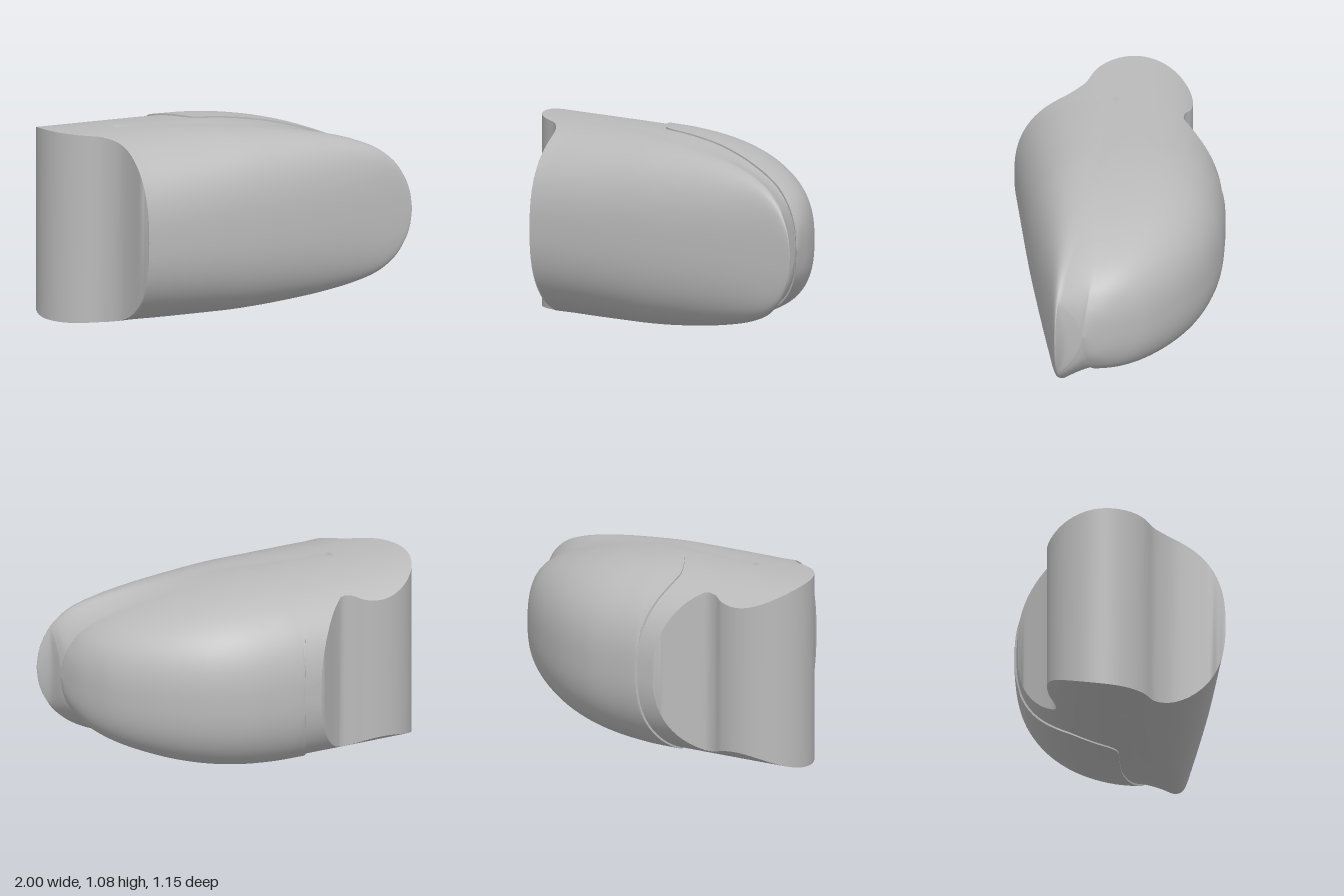
import * as THREE from 'three';
import { toCreasedNormals } from 'three/addons/utils/BufferGeometryUtils.js';

const MID = 0.54; // height of the mirror plane
const N = 2.5; // squareness of the rounded sections

// Smooth monotone curve through [x, value] pairs
function curve(...p) {
  const d = p.slice(1).map((q, i) => (q[1] - p[i][1]) / (q[0] - p[i][0]));
  const m = p.map((_, i) => {
    if (i === 0) return d[0];
    if (i === d.length) return d[i - 1];
    return d[i - 1] * d[i] <= 0 ? 0 : 2 * d[i - 1] * d[i] / (d[i - 1] + d[i]);
  });
  return (x) => {
    if (x <= p[0][0]) return p[0][1];
    if (x >= p[p.length - 1][0]) return p[p.length - 1][1];
    let i = 0;
    while (x > p[i + 1][0]) i++;
    const h = p[i + 1][0] - p[i][0], t = (x - p[i][0]) / h, s = 1 - t;
    return p[i][1] * (1 + 2 * t) * s * s + p[i + 1][1] * t * t * (3 - 2 * t)
      + h * (m[i] * t * s * s - m[i + 1] * t * t * s);
  };
}

// Plan outlines and heights along x
const back = curve([-1, -0.565], [-0.17, -0.565], [0, -0.555], [0.12, -0.54], [0.24, -0.507], [0.34, -0.468],
  [0.43, -0.42], [0.56, -0.33], [0.68, -0.222], [0.78, -0.105], [0.84, 0], [0.885, 0.105], [0.92, 0.25],
  [0.935, 0.335], [0.96, 0.37], [1, 0.403]);
const front = curve([-0.65, 0.57], [0, 0.522], [0.5, 0.47], [1, 0.407]);
const seam = curve([-0.1, 0], [0.2, 0.025], [0.4, 0.065], [0.7, 0.15], [0.82, 0.2], [0.92, 0.25],
  [0.935, 0.335], [0.96, 0.37], [1, 0.403]);
const rim = curve([-0.6, 0], [-0.2, 0.08], [0, 0.14], [0.2, 0.18], [0.4, 0.23], [0.6, 0.28], [0.85, 0.36], [1, 0.405]);
const domeHeight = curve([-1, 0.536], [-0.5, 0.534], [-0.15, 0.53], [0, 0.522], [0.2, 0.497], [0.4, 0.455],
  [0.53, 0.415], [0.7, 0.345], [0.82, 0.26], [0.89, 0.15], [0.91, 0.08], [0.92, 0]);
const rimHeight = curve([-1, 0.536], [-0.5, 0.533], [-0.2, 0.526], [0.1, 0.506], [0.4, 0.467], [0.6, 0.427],
  [0.7, 0.397], [0.8, 0.355], [0.9, 0.275], [0.96, 0.18], [0.99, 0.09], [1, 0]);
// Hollow behind the rim, opening out round the tip
const hollow = curve([0.5, 2], [0.8, 1.2], [0.92, 0.5]);

// Hinge barrel and its fillets
const barrel = (x) => Math.sqrt(Math.max(0, 0.29 ** 2 - (x + 0.71) ** 2));
const hingeBack = curve([-0.6, -0.393], [-0.55, -0.365], [-0.5, -0.357], [-0.46, -0.385], [-0.285, -0.555],
  [-0.275, -0.563], [-0.17, -0.565]);
const hingeFront = curve([-0.83, 0.139], [-0.77, 0.17], [-0.72, 0.225], [-0.69, 0.28], [-0.672, 0.36], [-0.65, 0.57]);
const bodyMin = (x) => x < -0.6 ? -0.125 - barrel(x) : x < -0.17 ? hingeBack(x) : back(x);
const bodyMax = (x) => x < -0.83 ? -0.125 + barrel(x) : x < -0.65 ? hingeFront(x) : front(x);

// Cap outline
const LIFT = 0.011;
const capBack = curve([-0.28, -0.28], [-0.27, -0.35], [-0.25, -0.41], [-0.22, -0.48], [-0.17, -0.576]);
const capFront = curve([-0.28, -0.28], [-0.27, -0.24], [-0.25, -0.19], [-0.22, -0.13], [-0.18, -0.06], [-0.14, -0.015], [-0.1, 0]);
const capMin = (x) => x < -0.17 ? capBack(x) : back(x) - LIFT;
const capMax = (x) => x < -0.1 ? capFront(x) : seam(x);

const bulge = (u) => Math.pow(Math.max(0, 1 - Math.pow(Math.min(1, Math.abs(u)), N)), 1 / N);

// Half height at a plan point; lift raises the cap above the body
function halfHeight(x, z, lift) {
  const s = seam(x), r = rim(x), hd = domeHeight(x) + lift * 0.8, hb = rimHeight(x);
  if (z <= s) return hd * bulge((s - z) / Math.max(1e-5, s - back(x) + lift));
  if (z < r) return hd + (hb - hd) * ((z - s) / (r - s)) ** hollow(x);
  return hb * bulge((z - r) / Math.max(1e-5, front(x) - r));
}

// Skin closed sections, mirrored about the middle plane, along x
function skin(xs, zMin, zMax, lift) {
  const pos = [], idx = [];
  let ring = 0;
  for (const x of xs) {
    const a = zMin(x), b = Math.max(a, zMax(x));
    const clamp = (z) => Math.min(b, Math.max(a, z));
    const s = clamp(seam(x)), r = clamp(Math.max(rim(x), seam(x)));
    const zs = [];
    for (let i = 0; i <= 32; i++) zs.push(a + (s - a) * Math.pow(i / 32, N));
    if (!lift) {
      for (let i = 1; i <= 12; i++) zs.push(s + (r - s) * (i / 12) ** 1.5);
      for (let i = 1; i <= 28; i++) zs.push(b - (b - r) * Math.pow(1 - i / 28, N));
    }
    const ys = zs.map((z) => halfHeight(x, z, lift));
    const px = x + lift * Math.max(0, x); // the cap also stands proud at its tip
    zs.forEach((z, i) => pos.push(px, MID + ys[i], z));
    for (let i = zs.length - 1; i >= 0; i--) pos.push(px, MID - ys[i], zs[i]);
    ring = zs.length * 2;
  }
  for (let i = 0; i < xs.length - 1; i++) {
    for (let j = 0; j < ring; j++) {
      const k = (j + 1) % ring, p = i * ring, q = p + ring;
      idx.push(p + j, p + k, q + j, p + k, q + k, q + j);
    }
  }
  const g = new THREE.BufferGeometry();
  g.setAttribute('position', new THREE.Float32BufferAttribute(pos, 3));
  g.setIndex(idx);
  g.scale(10, 10, 10); // finer welding for the creases
  return toCreasedNormals(g, 0.7).scale(0.1, 0.1, 0.1);
}

// Stations from a to b, crowded toward both ends
const stations = (a, b, n) => Array.from({ length: n + 1 }, (_, i) => a + (b - a) * (1 - Math.cos(Math.PI * i / n)) / 2);

export function createModel() {
  const group = new THREE.Group();
  const grey = new THREE.MeshStandardMaterial({ color: 0xbababa });
  grey.name = 'plainGrey';

  // Body with hinge barrel and front shell
  const xs = [...stations(-1, -0.673, 24), ...stations(-0.672, -0.65, 14), ...stations(-0.645, -0.28, 24),
    ...stations(-0.27, 0.92, 52), ...stations(0.922, 1, 18)];
  const body = new THREE.Mesh(skin(xs, bodyMin, bodyMax, 0), grey);
  body.name = 'bodyShell';

  // Raised rounded cap on the back
  const cap = new THREE.Mesh(skin(stations(-0.28, 0.92, 72), capMin, capMax, LIFT), grey);
  cap.name = 'backCap';

  group.add(body, cap);
  return group;
}
